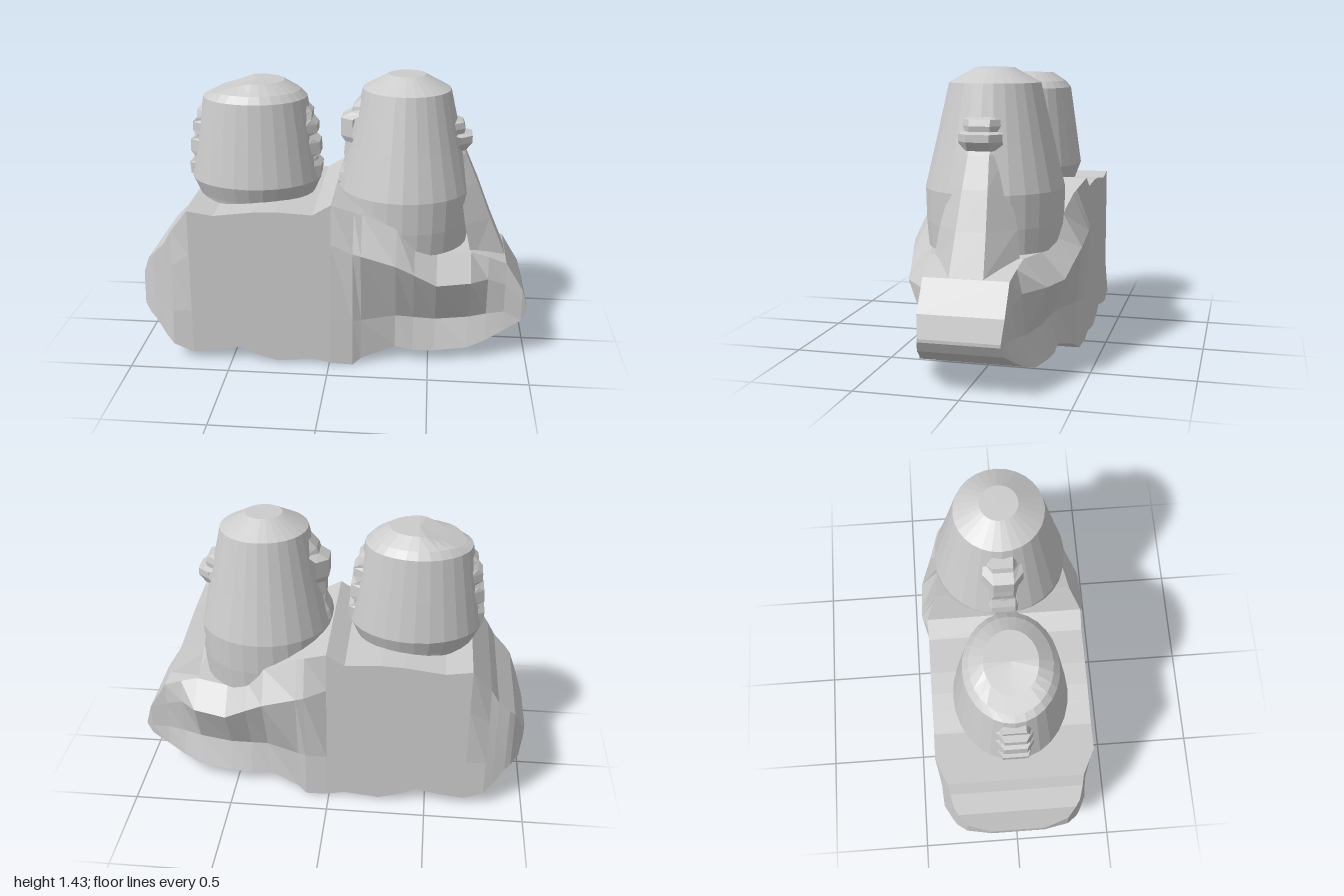
import * as THREE from 'three';

const material = new THREE.MeshStandardMaterial({ color: 0xcccccc, flatShading: true, side: THREE.DoubleSide });

function addMesh(group, name, geometry) {
  const mesh = new THREE.Mesh(geometry, material);
  mesh.name = name;
  group.add(mesh);
  return mesh;
}

// Joins rows of points (all the same length) into a surface
function skin(rows, closed) {
  const n = rows[0].length, index = [];
  for (let r = 0; r < rows.length - 1; r++) {
    for (let c = 0; c < (closed ? n : n - 1); c++) {
      const a = r * n + c, b = r * n + (c + 1) % n;
      index.push(a, b, b + n, a, b + n, a + n);
    }
  }
  if (closed) {
    const last = (rows.length - 1) * n;
    for (let c = 1; c < n - 1; c++) index.push(0, c + 1, c, last, last + c, last + c + 1);
  }
  const geometry = new THREE.BufferGeometry();
  geometry.setAttribute('position', new THREE.Float32BufferAttribute(rows.flat(2), 3));
  geometry.setIndex(index);
  geometry.computeVertexNormals();
  return geometry;
}

// Cross-section of the rock at x: half outline [y, z] mirrored to the other side
function section(x, half) {
  const front = half.map(([y, z]) => [x, y, z]);
  const back = half.map(([y, z]) => [x, y, -z]).reverse();
  return [...back, ...front];
}

// Raised strip on a tower side; rows are [outward x, y, outer half width, inner half width, depth]
function strip(dir, centre, rows) {
  return skin(rows.map(([out, y, outer, inner, depth = 0.06]) => [
    [centre + dir * (out - depth), y, dir * inner],
    [centre + dir * out, y, dir * outer],
    [centre + dir * out, y, -dir * outer],
    [centre + dir * (out - depth), y, -dir * inner],
  ]), false);
}

function tower(profile, depthScale) {
  const points = profile.map(([r, y]) => new THREE.Vector2(r, y));
  return new THREE.LatheGeometry(points, 28).scale(1, 1, depthScale);
}

export function createModel() {
  const model = new THREE.Group();

  // Plain half of the rock: x, bottom y, top y, bottom half width, top half width
  const plain = [
    [-1, 0.29, 0.35, 0.14, 0.14], [-0.97, 0.25, 0.42, 0.27, 0.26], [-0.93, 0.22, 0.52, 0.32, 0.3],
    [-0.9, 0.2, 0.55, 0.34, 0.32], [-0.84, 0.12, 0.61, 0.37, 0.335], [-0.8, 0.08, 0.68, 0.39, 0.34],
    [-0.7, 0.04, 0.81, 0.39, 0.39], [-0.57, 0.055, 0.79, 0.39, 0.39], [-0.45, 0.08, 0.805, 0.39, 0.39],
    [-0.37, 0.04, 0.815, 0.39, 0.39], [-0.26, 0.01, 0.82, 0.39, 0.39], [-0.08, 0.03, 0.81, 0.39, 0.39],
  ].map(([x, y0, y1, w0, w1]) => section(x, [0, 0.3, 0.7, 1].map(
    (t) => [y0 + (y1 - y0) * t, w0 + (w1 - w0) * t])));

  // Bulging half: x, then [y, half width] of the foot, hollow, ridge and rim
  const bulging = [
    [0.01, [0.01, 0.39], [0.25, 0.39], [0.66, 0.39], [0.865, 0.39]],
    [0.12, [0, 0.38], [0.25, 0.385], [0.63, 0.43], [0.82, 0.36]],
    [0.16, [0.03, 0.36], [0.25, 0.37], [0.62, 0.43], [0.805, 0.35]],
    [0.33, [0.08, 0.31], [0.25, 0.3], [0.57, 0.425], [0.73, 0.33]],
    [0.42, [0.06, 0.31], [0.235, 0.28], [0.52, 0.405], [0.63, 0.31]],
    [0.53, [0.06, 0.3], [0.22, 0.26], [0.455, 0.38], [0.58, 0.27]],
    [0.7, [0.075, 0.28], [0.225, 0.23], [0.455, 0.33], [0.58, 0.22]],
    [0.79, [0.105, 0.25], [0.24, 0.215], [0.44, 0.235], [0.55, 0.21]],
    [0.88, [0.15, 0.22], [0.25, 0.205], [0.4, 0.205], [0.515, 0.2]],
    [0.97, [0.2, 0.2], [0.25, 0.2], [0.31, 0.2], [0.37, 0.2]],
    [1, [0.25, 0.19], [0.255, 0.19], [0.26, 0.19], [0.265, 0.19]],
  ].map(([x, ...half]) => section(x, half));
  addMesh(model, 'rockBase', skin([...plain, ...bulging].map((row) => row.reverse()), true));

  // Short oval tower with a flared foot
  const shortTower = new THREE.Group();
  shortTower.name = 'shortTower';
  model.add(shortTower);
  addMesh(shortTower, 'shortTowerWall',
    tower([[0.29, 0.78], [0.3, 0.81], [0.335, 0.89], [0.3, 1.1], [0.265, 1.305]], 0.84)).position.x = -0.41;

  // Uneven cap, worn down toward the right
  const cap = tower([[0.265, 1.305], [0.23, 1.34], [0.15, 1.387], [0, 1.387]], 0.84);
  const p = cap.attributes.position;
  for (let i = 0; i < p.count; i++) {
    const x = p.getX(i), y = p.getY(i);
    if (y > 1.31 && x < -0.02) p.setY(i, Math.min(y, 1.387 + (x + 0.02) * 0.32));
  }
  cap.computeVertexNormals();
  addMesh(shortTower, 'shortTowerCap', cap).position.x = -0.41;

  // Notched strips on both ends of the short tower
  const notches = [
    [0.27, 0.89, 0.06, 0.1], [0.335, 0.9, 0.06, 0.1], [0.34, 0.96, 0.06, 0.1], [0.312, 0.985, 0.07, 0.1],
    [0.312, 1.0, 0.07, 0.1], [0.335, 1.02, 0.055, 0.1], [0.33, 1.08, 0.055, 0.1], [0.3, 1.1, 0.07, 0.1],
    [0.32, 1.13, 0.05, 0.095], [0.318, 1.17, 0.05, 0.095], [0.29, 1.195, 0.065, 0.09],
    [0.293, 1.235, 0.05, 0.08], [0.25, 1.28, 0.05, 0.08],
  ];
  for (const dir of [-1, 1]) {
    addMesh(shortTower, dir < 0 ? 'rightNotchedStrip' : 'leftNotchedStrip', strip(dir, -0.41, notches));
  }

  // Tall round tower
  const tallTower = new THREE.Group();
  tallTower.name = 'tallTower';
  model.add(tallTower);
  addMesh(tallTower, 'tallTowerWall', tower(
    [[0.31, 0.5], [0.325, 0.58], [0.335, 0.7], [0.338, 0.86], [0.285, 1.08], [0.22, 1.36], [0.093, 1.43], [0, 1.43]],
    1)).position.x = 0.355;

  // Worn ledges facing the short tower
  addMesh(tallTower, 'innerLedges', strip(-1, 0.355, [
    [0.3, 0.86, 0.06, 0.11], [0.34, 0.88, 0.06, 0.11], [0.33, 0.93, 0.06, 0.11], [0.305, 0.98, 0.06, 0.1],
    [0.31, 1.03, 0.05, 0.1], [0.305, 1.09, 0.05, 0.1], [0.325, 1.12, 0.05, 0.1], [0.325, 1.21, 0.05, 0.1],
    [0.275, 1.24, 0.05, 0.09], [0.265, 1.27, 0.05, 0.08], [0.21, 1.33, 0.05, 0.08],
  ]));

  // Small projecting ledge on the outer side
  addMesh(tallTower, 'outerLedge', strip(1, 0.355, [
    [0.23, 1.04, 0.055, 0.105], [0.3, 1.06, 0.055, 0.105], [0.332, 1.1, 0.055, 0.105],
    [0.332, 1.135, 0.055, 0.105], [0.29, 1.145, 0.05, 0.1], [0.295, 1.17, 0.05, 0.1],
    [0.285, 1.2, 0.05, 0.1], [0.22, 1.22, 0.05, 0.1],
  ]));

  // Sloping buttress running down to the outer end of the rock
  addMesh(tallTower, 'buttress', strip(1, 0.355, [
    [0.53, 0.48, 0.08, 0.22, 0.17], [0.523, 0.515, 0.08, 0.21, 0.17], [0.44, 0.71, 0.07, 0.185, 0.13],
    [0.37, 0.89, 0.06, 0.14, 0.09], [0.305, 1.04, 0.05, 0.11, 0.06], [0.25, 1.1, 0.05, 0.1, 0.04],
  ]));

  return model;
}
